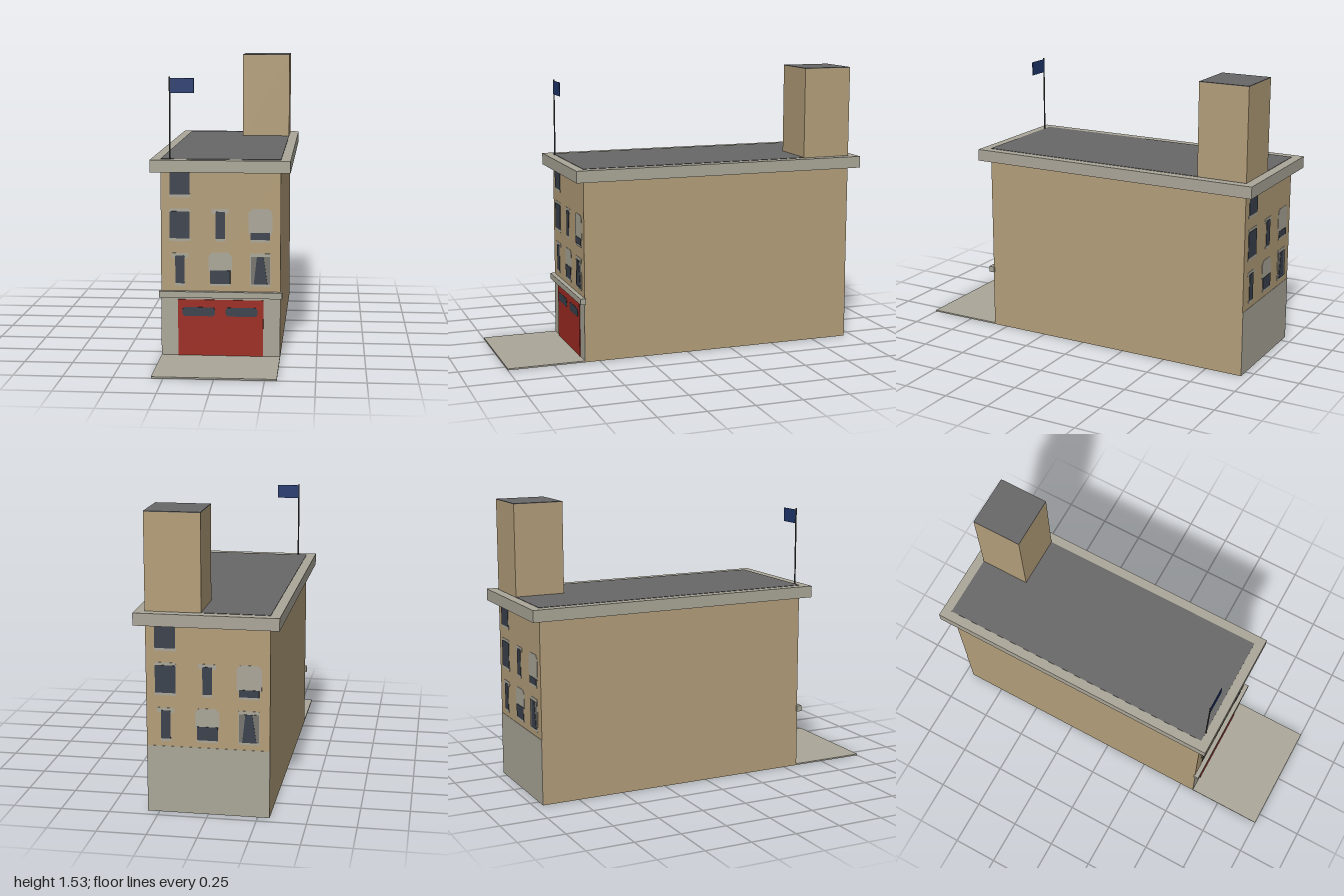
import * as THREE from 'three';

const mat = (name, color) => Object.assign(new THREE.MeshStandardMaterial({ color }), { name });

export function createModel() {
  const wall = mat('tan wall', 0xb39e79);
  const stone = mat('pale stone', 0xaaa698);
  const roofing = mat('grey roofing', 0x676767);
  const red = mat('red door', 0x9d2b21);
  const glass = mat('dark glass', 0x3a414c);
  const shade = mat('grey blind', 0x77756f);
  const navy = mat('navy flag', 0x20386e);
  const metal = mat('dark metal', 0x41423f);

  const model = new THREE.Group();
  model.name = 'fireStation';

  // Box given by its limits on each axis
  function box(name, material, [x0, x1], [y0, y1], [z0, z1], parent = model) {
    const mesh = new THREE.Mesh(new THREE.BoxGeometry(x1 - x0, y1 - y0, z1 - z0), material);
    mesh.position.set((x0 + x1) / 2, (y0 + y1) / 2, (z0 + z1) / 2);
    mesh.name = name;
    parent.add(mesh);
    return mesh;
  }

  // Thin upright plate with chamfered bottom (cb) and top (ct) corners
  function plate(name, material, [x0, x1], [y0, y1], z, parent, cb = 0, ct = cb) {
    const pts = [[x0 + cb, y0], [x1 - cb, y0], [x1, y0 + cb], [x1, y1 - ct],
      [x1 - ct, y1], [x0 + ct, y1], [x0, y1 - ct], [x0, y0 + cb]];
    const shape = new THREE.Shape(pts.map(p => new THREE.Vector2(...p)));
    const mesh = new THREE.Mesh(new THREE.ExtrudeGeometry(shape, { depth: 0.002, bevelEnabled: false }), material);
    mesh.position.z = z;
    mesh.name = name;
    parent.add(mesh);
  }

  // Main block, cornice and roof
  box('building', wall, [-0.31, 0.31], [0, 0.98], [-0.95, 0.58]);
  box('cornice', stone, [-0.36, 0.36], [0.975, 1.038], [-1, 0.63]);
  box('roof', roofing, [-0.31, 0.31], [1.036, 1.04], [-0.95, 0.58]);

  // Tower
  box('tower', wall, [0.03, 0.31], [1.03, 1.526], [-0.95, -0.68]);
  box('towerRoof', roofing, [0.03, 0.31], [1.526, 1.53], [-0.95, -0.68]);

  // Windows shared by the front and back walls; z = 0 is the wall surface
  function facade(name) {
    const g = new THREE.Group();
    g.name = name;
    model.add(g);
    plate('groundFloorStone', stone, [-0.31, 0.31], [0, 0.35], 0, g);

    // Plain windows: x range, y range, lintel overhang
    const plain = [
      [[-0.264, -0.16], [0.855, 0.972], 0],
      [[-0.264, -0.16], [0.627, 0.768], 0.002],
      [[-0.026, 0.022], [0.627, 0.768], 0.02],
      [[-0.236, -0.188], [0.39, 0.536], 0.02],
    ];
    for (const [x, y, over] of plain) {
      plate('sill', stone, [x[0] - 0.003, x[1] + 0.003], [y[0] - 0.014, y[0] + 0.006], 0, g, 0.003);
      if (over) plate('lintel', stone, [x[0] - over, x[1] + over], [y[1] - 0.012, y[1] + 0.014], 0, g, 0.005);
      plate('windowGlass', glass, x, y, 0.002, g, 0, 0.004);
    }

    // Windows half covered by a pale arched panel
    const arched = [
      [[0.144, 0.268], [0.65, 0.785], [0.155, 0.256], [0.623, 0.66]],
      [[-0.063, 0.058], [0.45, 0.555], [-0.054, 0.05], [0.39, 0.46]],
    ];
    for (const [px, py, gx, gy] of arched) {
      plate('archedPanel', stone, px, py, 0, g, 0.008, 0.02);
      plate('sill', stone, gx, [gy[0] - 0.012, gy[0]], 0, g);
      plate('windowGlass', glass, gx, gy, 0.002, g);
    }

    // Window with drawn blinds either side of a tapering pane
    plate('windowFrame', stone, [0.153, 0.258], [0.378, 0.552], 0, g, 0.003);
    plate('blinds', shade, [0.157, 0.256], [0.39, 0.535], 0.002, g);
    const taper = new THREE.Shape([[0.172, 0.39], [0.243, 0.39], [0.222, 0.535], [0.188, 0.535]]
      .map(p => new THREE.Vector2(...p)));
    const pane = new THREE.Mesh(new THREE.ExtrudeGeometry(taper, { depth: 0.002, bevelEnabled: false }), glass);
    pane.position.z = 0.004;
    pane.name = 'taperedPane';
    g.add(pane);
    return g;
  }
  const front = facade('frontFacade');
  front.position.z = 0.58;
  const back = facade('backFacade');
  back.rotation.y = Math.PI;
  back.position.z = -0.95;

  // Garage door with two panes, and the stone band above it
  box('garageDoor', red, [-0.222, 0.222], [0.005, 0.305], [0.58, 0.586]);
  plate('doorPane', glass, [-0.2, -0.028], [0.218, 0.265], 0.586, model, 0.012);
  plate('doorPane', glass, [0.025, 0.193], [0.218, 0.265], 0.586, model, 0.012);
  box('stoneBand', stone, [-0.32, 0.32], [0.318, 0.35], [0.575, 0.605]);

  // Forecourt slab
  box('forecourt', stone, [-0.31, 0.31], [0, 0.008], [0.58, 1]);

  // Flagpole and flag
  const pole = new THREE.Mesh(new THREE.CylinderGeometry(0.004, 0.004, 0.425, 8), metal);
  pole.position.set(-0.26, 1.2475, 0.582);
  pole.name = 'flagpole';
  model.add(pole);
  box('flag', navy, [-0.258, -0.136], [1.377, 1.452], [0.58, 0.584]);

  return model;
}
